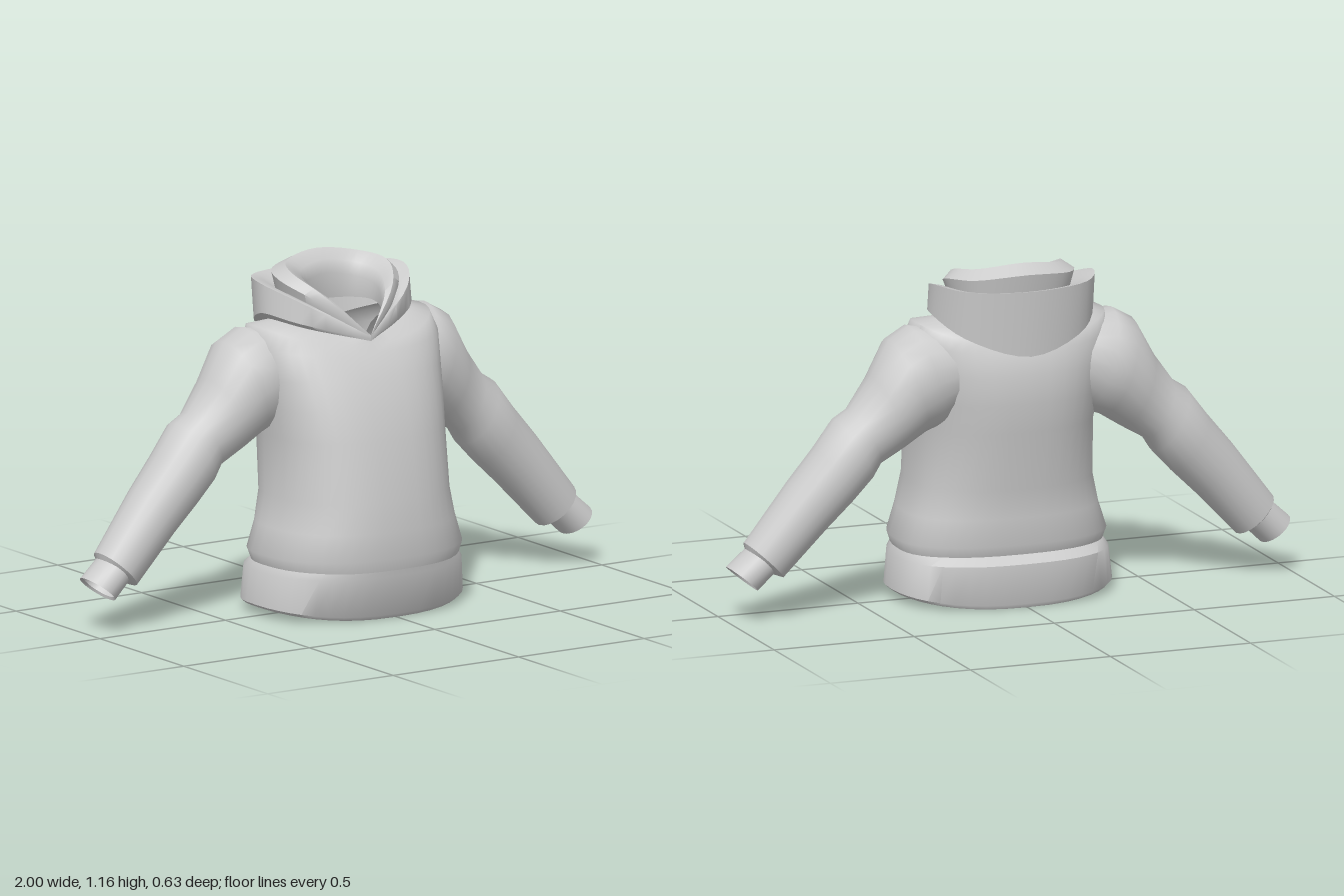
import * as THREE from 'three';
import { toCreasedNormals } from 'three/addons/utils/BufferGeometryUtils.js';

const material = new THREE.MeshStandardMaterial({ color: 0xcccccc, side: THREE.DoubleSide });
const N = 40;
const { lerp } = THREE.MathUtils;

// Skin a list of closed rings (arrays of Vector3, equal length).
function loft(name, rings, crease = 0.8) {
  const n = rings[0].length, index = [];
  for (let i = 0; i < rings.length - 1; i++) {
    for (let j = 0; j < n; j++) {
      const a = i * n + j, b = i * n + ((j + 1) % n);
      index.push(a, b, b + n, a, b + n, a + n);
    }
  }
  const geometry = new THREE.BufferGeometry().setFromPoints(rings.flat());
  geometry.setIndex(index);
  const mesh = new THREE.Mesh(toCreasedNormals(geometry, crease), material);
  mesh.name = name;
  return mesh;
}

// Body ring: height, half width, front z, back z. The front and back dip at hem and neck.
function bodyRing([y, width, front, back]) {
  const dip = 0.6 * Math.max(0, y - 0.86) + 0.4 * Math.max(0, 0.1 - y);
  const mid = -0.25 * Math.max(0, y - 0.6);
  const soft = (v) => Math.sign(v) * Math.abs(v) ** 0.82;
  return Array.from({ length: N }, (_, j) => {
    const a = (j / N) * Math.PI * 2, c = Math.cos(a);
    const z = lerp(mid, c > 0 ? front : back, Math.abs(soft(c)));
    return new THREE.Vector3(width * soft(Math.sin(a)), y - dip * c * c, z);
  });
}

// Hood ring: from a front notch, round a side point to the back, then mirrored.
function hoodRing([frontY, x, y, z, backY, backZ]) {
  const frontZ = 0.12;
  const quarter = (s) => [
    new THREE.Vector3(s * x * 0.76, lerp(frontY, y, 0.72), lerp(frontZ, z, 0.45)),
    new THREE.Vector3(s * x, y, z),
    new THREE.Vector3(s * x * 0.75, lerp(y, backY, 0.5), lerp(z, backZ, 0.72)),
  ];
  const front = new THREE.Vector3(0, frontY, frontZ);
  const back = new THREE.Vector3(0, backY, backZ);
  const points = [front, ...quarter(1), back, ...quarter(-1).reverse(), front];
  const curve = new THREE.CatmullRomCurve3(points, false, 'centripetal');
  return Array.from({ length: N }, (_, j) => curve.getPoint(j / N));
}

// Sleeve ring: centre x, centre y, radius. It leans further out towards the wrist.
function sleeveRing([x, y, r], side, depth) {
  const n = 20, lean = 0.35 + 0.9 * (x - 0.375);
  const midZ = -0.085 - 0.025 * Math.sin(Math.PI * x);
  return Array.from({ length: n }, (_, j) => {
    const a = (j / n) * Math.PI * 2, up = r * Math.cos(a);
    return new THREE.Vector3(
      side * (x + up * Math.sin(lean)),
      y + up * Math.cos(lean),
      midZ + side * depth * Math.sin(a));
  });
}

export function createModel() {
  const group = new THREE.Group();
  group.name = 'hoodedSweatshirt';

  // Hood, from under the collar, up over the fold and the roll, into the neck
  const hood = [
    [.91, .25, .975, -.1, .91, -.25],
    [.915, .287, 1, -.1, .865, -.3],
    [.925, .287, 1.1, -.12, 1.09, -.315],
    [.925, .25, 1.09, -.11, 1.085, -.29],
    [.922, .21, 1.06, -.1, 1.06, -.25],
    [.928, .225, 1.105, -.09, 1.135, -.265],
    [.93, .19, 1.13, -.07, 1.165, -.21],
    [.928, .145, 1.1, -.06, 1.135, -.165],
    [.925, .128, 1.06, -.06, 1.09, -.152],
    [.915, .13, 1, -.06, 1, -.17],
  ].map(hoodRing);
  group.add(loft('hood', hood, 0.9));

  // Torso, closing onto the underside of the hood
  const torso = [
    [.17, .352, .306, -.225],
    [.21, .365, .314, -.24],
    [.3, .335, .31, -.232],
    [.4, .312, .302, -.243],
    [.6, .31, .265, -.275],
    [.7, .322, .237, -.289],
    [.8, .335, .196, -.288],
    [.9, .35, .15, -.268],
    [.965, .33, .125, -.253],
  ].map(bodyRing);
  group.add(loft('torso', [...torso, hood[0]], 1.2));

  // Ribbed waistband, with an inner wall and a turned edge
  const band = [
    [.16, .34, .285, -.225],
    [.03, .37, .272, -.262],
    [.04, .381, .284, -.27],
    [.15, .368, .302, -.267],
    [.175, .352, .306, -.228],
  ].map(bodyRing);
  group.add(loft('waistband', band));

  // Sleeves with elbow folds, and cuffs open at the wrist
  const sleeve = [
    [.2, .81, .13], [.31, .79, .178], [.375, .76, .17], [.445, .677, .135], [.525, .6, .108],
    [.565, .56, .12], [.635, .477, .112], [.725, .38, .103], [.875, .205, .088], [.89, .197, .06],
  ];
  const cuff = [[.885, .207, .062], [.95, .147, .064], [.944, .152, .055], [.885, .205, .052]];
  for (const side of [1, -1]) {
    const label = side > 0 ? 'left' : 'right';
    group.add(loft(label + 'Sleeve', sleeve.map((p) => sleeveRing(p, side, Math.min(p[2], 0.158)))));
    group.add(loft(label + 'Cuff', cuff.map((p) => sleeveRing(p, side, p[2] * 1.2))));
  }
  return group;
}
